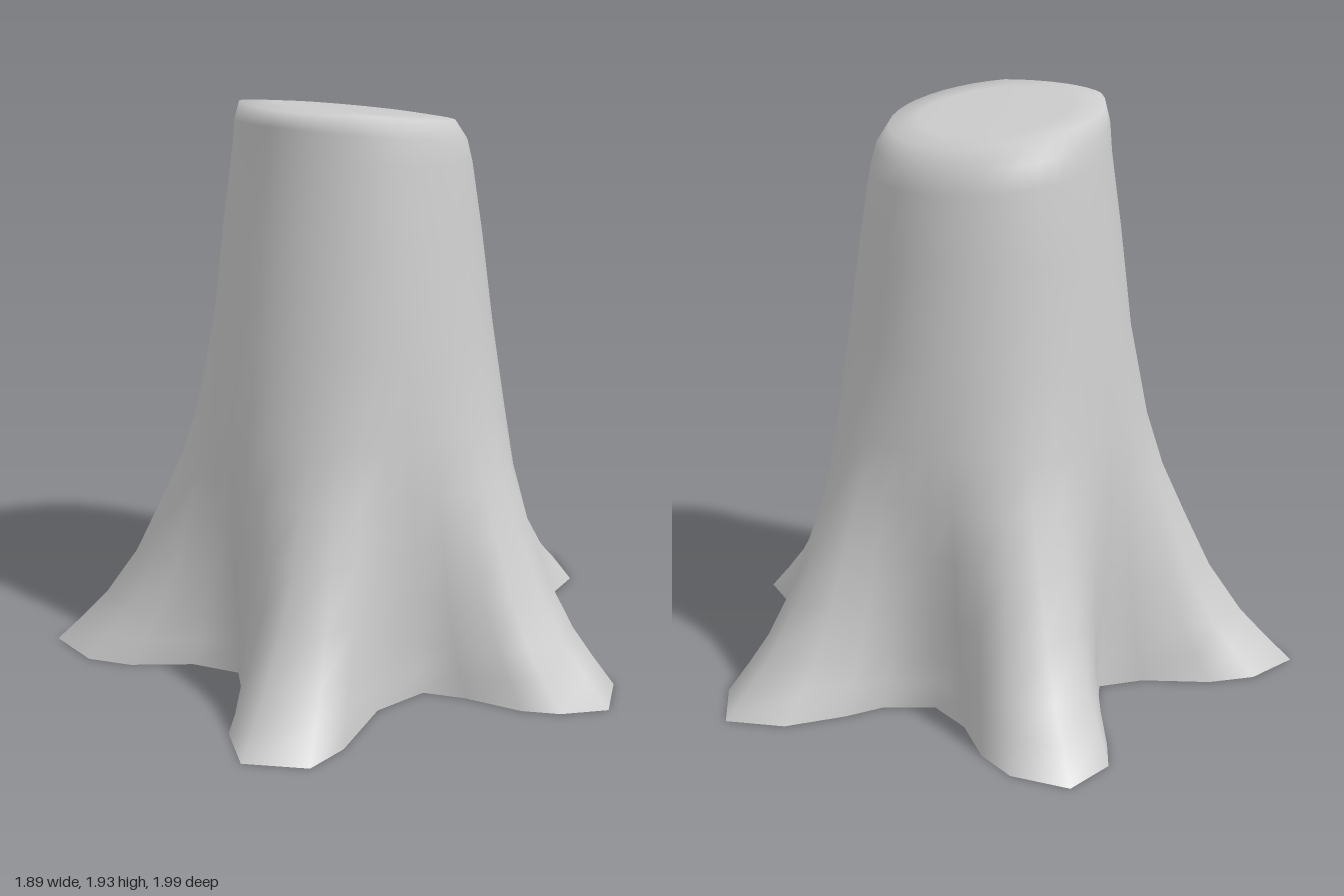
import * as THREE from 'three';

// Outline of the five roots on the ground (x, z); each row runs valley -> tip -> valley
const BASE = [
  [.36, .27], [.5, .23], [.7, .21], [.82, .16], [.94, .05], [.87, -.13], [.72, -.2], [.52, -.22],
  [.35, -.27], [.29, -.42], [.35, -.66], [.34, -.84], [.18, -1], [.01, -.9], [-.09, -.72], [-.14, -.59],
  [-.27, -.48], [-.43, -.52], [-.6, -.63], [-.75, -.67], [-.94, -.61], [-.94, -.42], [-.85, -.31], [-.7, -.17],
  [-.58, 0], [-.66, .13], [-.84, .27], [-.93, .4], [-.95, .6], [-.75, .67], [-.6, .63], [-.42, .51],
  [-.25, .48], [-.13, .62], [-.07, .75], [-.02, .85], [.13, .99], [.33, .9], [.35, .74], [.3, .46],
];

// Cross-sections: height, trunk radius, share of root outline, slope of the ring, z shift
const RINGS = [
  [0, .5, 1, 0, 0],
  [.09, .5, .83, 0, 0],
  [.18, .505, .67, 0, 0],
  [.34, .52, .45, 0, 0],
  [.53, .525, .27, 0, 0],
  [.7, .52, .13, 0, 0],
  [.88, .51, .04, 0, 0],
  [1.18, .47, 0, .03, 0],
  [1.5, .43, 0, .08, 0],
  [1.74, .395, 0, .13, 0],
  [1.82, .382, 0, .16, .01],
  [1.88, .353, 0, .17, .03],
  [1.887, .25, 0, .17, .02],
];
const CENTRE = [-.085, .005];

function stumpGeometry() {
  const n = BASE.length, pos = [], index = [];
  for (const [y, r, w, slope, shift] of RINGS) {
    BASE.forEach(([bx, bz], i) => {
      const a = (i / n) * Math.PI * 2 - Math.PI / 5;
      const tx = CENTRE[0] + r * Math.cos(a);
      const tz = CENTRE[1] + shift - r * Math.sin(a);
      const z = THREE.MathUtils.lerp(tz, bz, w);
      pos.push(THREE.MathUtils.lerp(tx, bx, w), Math.min(y + slope * z, 1.935), z);
    });
  }
  // Walls between neighbouring rings
  for (let k = 0; k < RINGS.length - 1; k++) {
    for (let i = 0; i < n; i++) {
      const a = k * n + i, b = k * n + (i + 1) % n;
      index.push(a, b, b + n, a, b + n, a + n);
    }
  }
  // Sloping cut top, closed to its middle
  const top = (RINGS.length - 1) * n;
  pos.push(CENTRE[0], 1.887, CENTRE[1]);
  for (let i = 0; i < n; i++) index.push(top + i, top + (i + 1) % n, top + n);

  const g = new THREE.BufferGeometry();
  g.setAttribute('position', new THREE.Float32BufferAttribute(pos, 3));
  g.setIndex(index);
  g.computeVertexNormals();
  return g;
}

export function createModel() {
  const group = new THREE.Group();
  group.name = 'treeStump';
  // Open underneath, so both sides show
  const material = new THREE.MeshStandardMaterial({ color: 0xcccccc, side: THREE.DoubleSide });
  const stump = new THREE.Mesh(stumpGeometry(), material);
  stump.name = 'trunkWithRoots';
  group.add(stump);
  return group;
}
